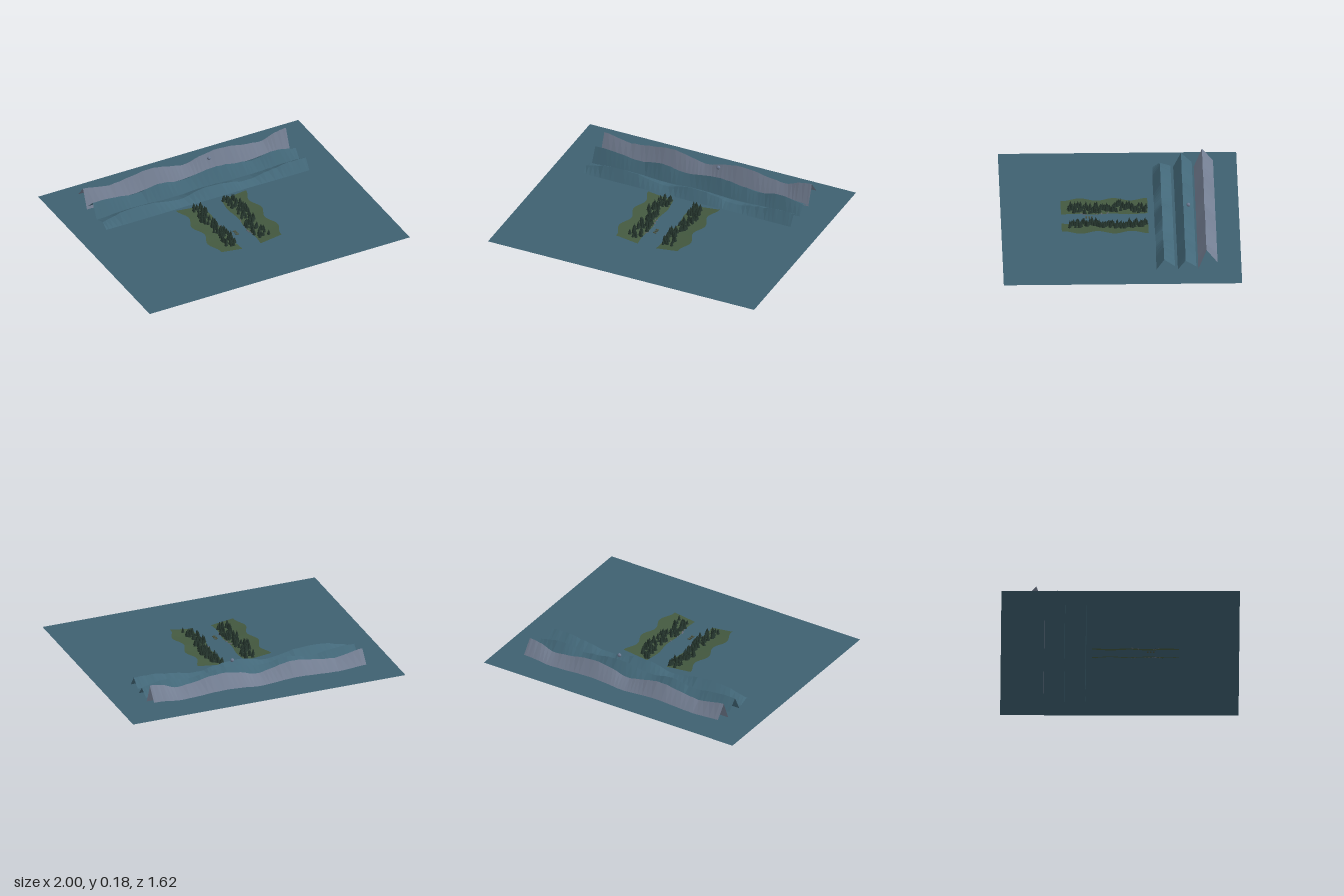
import * as THREE from 'three';
import { mergeGeometries } from 'three/addons/utils/BufferGeometryUtils.js';

const mat = (name, color, extra = {}) => {
  const m = new THREE.MeshStandardMaterial({ color, flatShading: true, ...extra });
  m.name = name;
  return m;
};

function seeded(seed) {
  return () => (seed = (seed * 16807) % 2147483647) / 2147483647;
}

// Open sheet lofted through rows of points; all rows have the same length
function sheet(rows) {
  const n = rows[0].length, index = [];
  for (let r = 0; r < rows.length - 1; r++) {
    for (let i = 0; i < n - 1; i++) {
      const a = r * n + i, b = a + n;
      index.push(a, a + 1, b, a + 1, b + 1, b);
    }
  }
  const g = new THREE.BufferGeometry();
  g.setAttribute('position', new THREE.Float32BufferAttribute(rows.flat(2), 3));
  g.setIndex(index);
  g.computeVertexNormals();
  return g;
}

// Folded ridge: foot, wavy crest and raised back edge
function ridge(frontZ, crestZ, backZ, crest, seed) {
  const rand = seeded(seed);
  const curve = new THREE.SplineCurve(crest.map(([x, y]) => new THREE.Vector2(x, y)));
  const rows = [[], [], []];
  for (let i = 0; i <= 48; i++) {
    const p = curve.getPoint(i / 48);
    const h = p.y + (rand() - 0.5) * 0.006;
    rows[0].push([p.x, 0, frontZ]);
    rows[1].push([p.x, h, crestZ]);
    rows[2].push([p.x, h * 0.36, backZ]);
  }
  return sheet(rows);
}

const outerX = z => 0.25 + 0.019 * Math.cos((z + 0.19) * 27.3);
const innerX = z => 0.055 + 0.006 * Math.sin(z * 24);
const bankY = (x, z) => 0.002 + 0.024 * (x - innerX(z)) / (outerX(z) - innerX(z));

// Sloping bank with a wavy outer edge
function bank(side) {
  const rows = [[], []];
  for (let i = 0; i <= 36; i++) {
    const z = -0.19 + 0.59 * i / 36;
    rows[0].push([side * innerX(z), 0.002, z]);
    rows[1].push([side * outerX(z), 0.026, z]);
  }
  return sheet(side > 0 ? [rows[1], rows[0]].map(r => r.slice().reverse()).reverse() : rows.reverse());
}

// Two-tiered conifers spread over a bank
function forest(side, seed) {
  const rand = seeded(seed), trees = [];
  for (let i = 0; i < 85; i++) {
    const z = -0.18 + 0.53 * (i + rand()) / 85;
    const x = 0.125 + 0.012 * Math.cos(z * 14) + (rand() - 0.5) * 0.085;
    const s = 0.75 + rand() * 0.4, y = bankY(x, z) - 0.001;
    const lower = new THREE.ConeGeometry(0.0135 * s, 0.03 * s, 7);
    lower.translate(0, 0.021 * s, 0);
    const upper = new THREE.ConeGeometry(0.0095 * s, 0.026 * s, 7);
    upper.translate(0, 0.035 * s, 0);
    const trunk = new THREE.CylinderGeometry(0.002, 0.0025, 0.008, 5);
    trunk.translate(0, 0.004, 0);
    const tree = mergeGeometries([lower, upper, trunk]);
    tree.rotateY(rand() * 6.28);
    tree.translate(side * x, y, z);
    trees.push(tree);
  }
  return mergeGeometries(trees);
}

// Small stones along the waterline
function stones(side, seed) {
  const rand = seeded(seed), list = [];
  for (let i = 0; i < 12; i++) {
    const z = 0.08 + rand() * 0.2;
    const g = new THREE.DodecahedronGeometry(0.003 + rand() * 0.003);
    g.translate(side * (innerX(z) + 0.008 + rand() * 0.018), 0.006, z);
    list.push(g);
  }
  return mergeGeometries(list);
}

export function createModel() {
  const model = new THREE.Group();
  model.name = 'riverValley';
  const both = { side: THREE.DoubleSide };
  const water = mat('water', 0x3e6070, both);
  const nearHill = mat('nearHill', 0x436879, both);
  const farHill = mat('farHill', 0x747f93, both);
  const grass = mat('grass', 0x43583f, both);
  const pine = mat('pine', 0x24342c);
  const stone = mat('stone', 0x686a76);
  const moonGrey = mat('moonGrey', 0x6c7a92);
  const wood = mat('wood', 0x4a5240);

  const add = (name, geometry, material, x = 0, y = 0, z = 0) => {
    const mesh = new THREE.Mesh(geometry, material);
    mesh.name = name;
    mesh.position.set(x, y, z);
    model.add(mesh);
    return mesh;
  };

  // Lake surface
  add('lake', new THREE.PlaneGeometry(2, 1.62).rotateX(-Math.PI / 2), water, 0, 0.004, 0);

  // Three ridges, nearest first
  add('nearRidge', ridge(-0.23, -0.285, -0.358, [
    [-0.78, 0.04], [-0.6, 0.078], [-0.4, 0.075], [-0.2, 0.04], [0, 0.075],
    [0.18, 0.062], [0.32, 0.035], [0.5, 0.06], [0.66, 0.08], [0.78, 0.075]], 11), nearHill);
  add('middleRidge', ridge(-0.375, -0.43, -0.503, [
    [-0.78, 0.112], [-0.62, 0.105], [-0.45, 0.08], [-0.28, 0.108], [-0.1, 0.08],
    [0.12, 0.112], [0.3, 0.095], [0.45, 0.075], [0.6, 0.1], [0.78, 0.07]], 23), nearHill);
  add('farRidge', ridge(-0.515, -0.573, -0.648, [
    [-0.78, 0.143], [-0.6, 0.108], [-0.45, 0.122], [-0.28, 0.143], [-0.12, 0.118],
    [0, 0.095], [0.12, 0.128], [0.28, 0.143], [0.45, 0.118], [0.58, 0.102],
    [0.7, 0.14], [0.78, 0.15]], 37), farHill);

  // Banks with trees and stones
  for (const side of [-1, 1]) {
    const label = side > 0 ? 'left' : 'right';
    add(label + 'Bank', bank(side), grass);
    add(label + 'Forest', forest(side, side > 0 ? 101 : 211), pine);
    add(label + 'Stones', stones(side, side > 0 ? 307 : 401), stone);
  }

  // Moon above the ridges
  add('moon', new THREE.SphereGeometry(0.013, 16, 12), moonGrey, 0.13, 0.17, -0.462);

  // Small raft pieces on the water
  for (const z of [0.19, 0.21, 0.23]) {
    add('raftLog', new THREE.BoxGeometry(0.022, 0.006, 0.01), wood, -0.02, 0.006, z);
  }
  return model;
}
